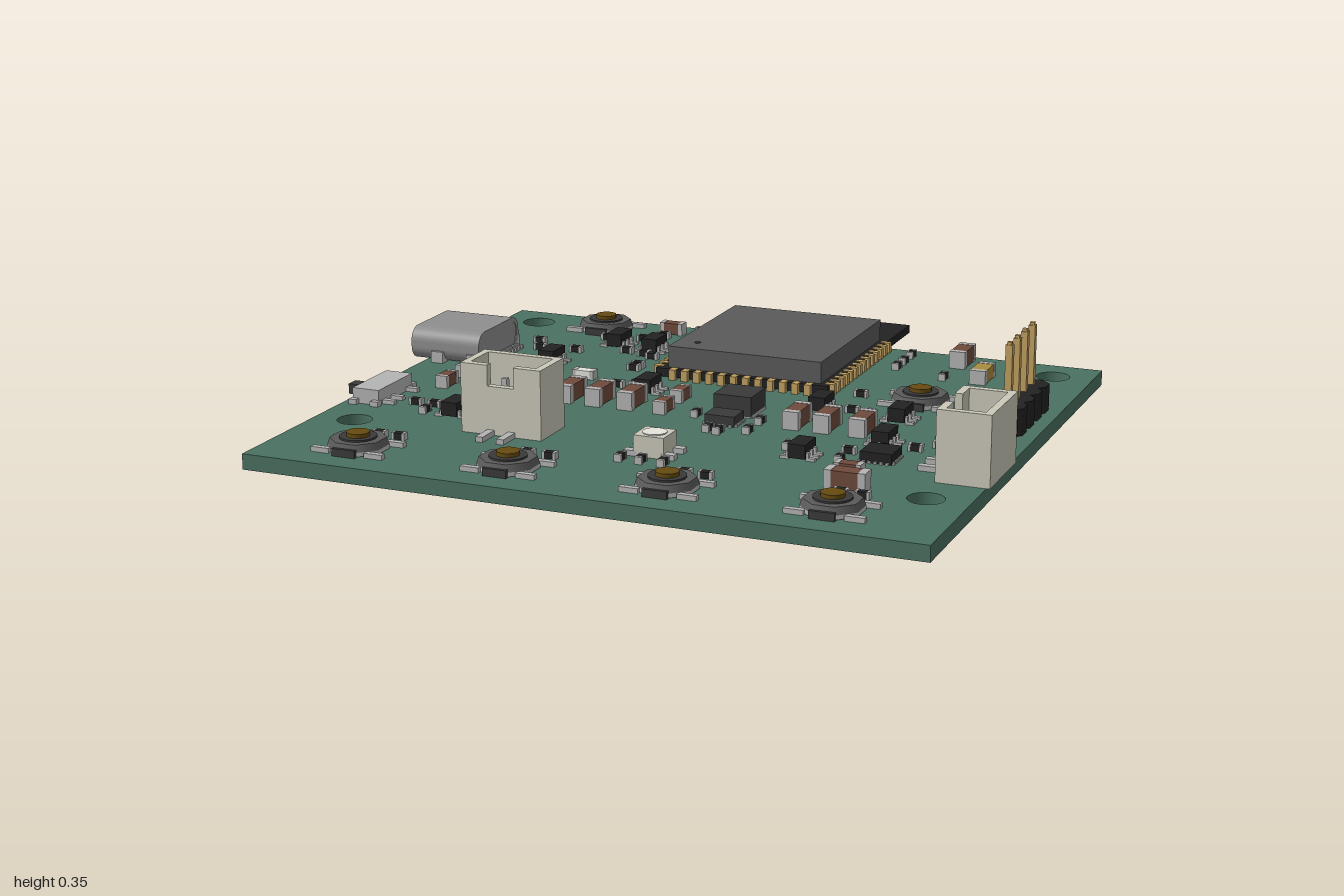
import * as THREE from 'three';

const TOP = 0.095; // height of the board's upper face
const mat = (color) => new THREE.MeshStandardMaterial({ color, side: THREE.DoubleSide });
const M = {
  board: mat(0x4a7060), black: mat(0x222222), dark: mat(0x3a3a3a), grey: mat(0x5a5a5a), shell: mat(0x8e8e8e),
  metal: mat(0xb4b4b4), cream: mat(0xcac8b8), gold: mat(0xc0a060), brown: mat(0x6e4a3c), stem: mat(0x664a10),
  yellow: mat(0xa88c40), white: mat(0xe4e4dc),
};

function mesh(parent, name, geo, material, x = 0, y = 0, z = 0) {
  const m = new THREE.Mesh(geo, material);
  m.name = name;
  m.position.set(x, y, z);
  parent.add(m);
  return m;
}
// Box centred on x and z, resting on height y
const box = (p, name, m, x, y, z, w, h, d) => mesh(p, name, new THREE.BoxGeometry(w, h, d), m, x, y + h / 2, z);
// Cylinder resting on height y
const cyl = (p, name, m, x, y, z, r, h, n = 20, r2 = r) => {
  const g = new THREE.CylinderGeometry(r2, r, h, n);
  if (n === 8) g.rotateY(Math.PI / 8);
  return mesh(p, name, n === 8 ? g.toNonIndexed() : g, m, x, y + h / 2, z);
};
function sub(parent, name, x = 0, z = 0, turn = 0) {
  const g = new THREE.Group();
  g.name = name;
  g.position.set(x, TOP, z);
  g.rotation.y = turn;
  parent.add(g);
  return g;
}
function roundRect(T, w, h, r) {
  const s = new T(), x = w / 2 - r, y = h / 2 - r;
  s.absarc(x, y, r, 0, Math.PI / 2);
  s.absarc(-x, y, r, Math.PI / 2, Math.PI);
  s.absarc(-x, -y, r, Math.PI, Math.PI * 1.5);
  s.absarc(x, -y, r, Math.PI * 1.5, Math.PI * 2);
  s.closePath();
  return s;
}

// Board with four mounting holes
function addBoard(root) {
  const s = new THREE.Shape([[-0.96, -0.76], [0.99, -0.76], [0.99, 0.95], [-0.96, 0.95]].map((p) => new THREE.Vector2(...p)));
  for (const [x, z] of [[-0.84, -0.64], [0.87, -0.64], [-0.84, 0.55], [0.87, 0.61]])
    s.holes.push(new THREE.Path().absarc(x, z, 0.05, 0, Math.PI * 2, true));
  const g = new THREE.ExtrudeGeometry(s, { depth: 0.045, bevelEnabled: false, curveSegments: 24 }).rotateX(Math.PI / 2);
  mesh(root, 'circuitBoard', g, M.board, 0, TOP, 0);
}

// Radio module with shield can, edge pads and antenna trace
function addModule(root) {
  const g = sub(root, 'radioModule', 0.045, 0);
  box(g, 'moduleBoard', M.black, 0, 0.005, -0.565, 0.545, 0.025, 0.77);
  box(g, 'shieldCan', M.grey, 0.002, 0.03, -0.47, 0.485, 0.065, 0.54);
  cyl(g, 'pinOneDot', M.dark, -0.175, 0.0945, -0.27, 0.01, 0.002, 12);
  for (let i = 0; i < 14; i++)
    for (const s of [-1, 1]) box(g, 'edgePad', M.gold, s * 0.272, 0, -0.715 + i * 0.039, 0.03, 0.032, 0.02);
  for (let i = 0; i < 12; i++) box(g, 'edgePad', M.gold, -0.215 + i * 0.039, 0, -0.18, 0.02, 0.032, 0.03);
  for (let i = 0; i < 6; i++) {
    box(g, 'antennaTrace', M.dark, -0.2 + i * 0.07, 0.03, -0.86, 0.014, 0.002, 0.11);
    if (i < 5) box(g, 'antennaTrace', M.dark, -0.165 + i * 0.07, 0.03, i % 2 ? -0.812 : -0.908, 0.07, 0.002, 0.014);
  }
}

// Octagonal push button
function addButton(root, x, z) {
  const g = sub(root, 'pushButton', x, z);
  cyl(g, 'base', M.metal, 0, 0.002, 0, 0.085, 0.012, 8);
  cyl(g, 'body', M.grey, 0, 0.014, 0, 0.085, 0.02, 8, 0.078);
  cyl(g, 'collar', M.dark, 0, 0.034, 0, 0.052, 0.005, 24);
  cyl(g, 'plunger', M.stem, 0, 0.039, 0, 0.032, 0.011, 24);
  for (const a of [-1, 1]) {
    for (const b of [-1, 1]) box(g, 'leg', M.metal, a * 0.082, 0, b * 0.06, 0.055, 0.014, 0.018);
    box(g, 'sideTab', M.dark, 0, 0, a * 0.078, 0.07, 0.022, 0.015);
  }
}

// Open two-pin plug socket; the notched wall and the legs face local +z
function addSocket(root, name, x, z, turn) {
  const g = sub(root, name, x, z, turn), t = 0.022, w = 0.245, d = 0.15, h = 0.2;
  box(g, 'floor', M.cream, 0, 0, 0, w - t, 0.04, d - t);
  box(g, 'backWall', M.cream, 0, 0, -(d - t) / 2, w, h, t);
  box(g, 'frontWall', M.cream, 0, 0, (d - t) / 2, w, h - 0.06, t);
  for (const s of [-1, 1]) {
    box(g, 'sideWall', M.cream, s * (w - t) / 2, 0, 0, t, h, d - 2 * t);
    box(g, 'frontWallTop', M.cream, s * (w / 4 + 0.02), h - 0.06, (d - t) / 2, w / 2 - 0.04, 0.06, t);
    box(g, 'contact', M.metal, s * 0.032, 0.04, -0.02, 0.016, 0.1, 0.016);
    box(g, 'leg', M.metal, s * 0.032, 0, d / 2 + 0.03, 0.022, 0.015, 0.085);
  }
}

// Side port: rounded tube opening toward -x, with tongue and solder legs
function addPort(root) {
  const g = sub(root, 'sidePort', 0, -0.215);
  const s = roundRect(THREE.Shape, 0.27, 0.1, 0.042);
  s.holes.push(roundRect(THREE.Path, 0.242, 0.074, 0.03));
  const turn = (geo) => geo.rotateY(-Math.PI / 2);
  mesh(g, 'shell', turn(new THREE.ExtrudeGeometry(s, { depth: 0.23, bevelEnabled: false, curveSegments: 8 })), M.shell, -0.77, 0.05, 0);
  mesh(g, 'backPlate', turn(new THREE.ExtrudeGeometry(roundRect(THREE.Shape, 0.25, 0.08, 0.032), { depth: 0.05, bevelEnabled: false })), M.shell, -0.772, 0.05, 0);
  box(g, 'tongue', M.dark, -0.88, 0.04, 0, 0.16, 0.02, 0.18);
  for (let i = 0; i < 12; i++) box(g, 'solderLeg', M.metal, -0.765, 0, -0.11 + i * 0.02, 0.045, 0.012, 0.01);
  for (const x of [-0.91, -0.79]) for (const s2 of [-1, 1]) box(g, 'shellTab', M.metal, x, 0, s2 * 0.128, 0.04, 0.035, 0.03);
}

// Slide switch on the left-hand edge of the plan
function addSwitch(root) {
  const g = sub(root, 'slideSwitch', -0.888, 0.302);
  box(g, 'body', M.metal, 0, 0, 0, 0.085, 0.045, 0.2);
  box(g, 'knob', M.dark, -0.063, 0.008, 0.028, 0.045, 0.03, 0.04);
  for (const s of [-1, 1]) for (const x of [-0.035, 0.035]) box(g, 'cornerTab', M.metal, x, 0, s * 0.105, 0.025, 0.015, 0.025);
  for (const z of [-0.07, 0.02, 0.07]) box(g, 'leg', M.metal, 0.055, 0, z, 0.05, 0.012, 0.018);
}

// Four-pin header passing through the board
function addHeader(root) {
  const g = sub(root, 'pinHeader', 0.9, -0.155);
  for (let i = 0; i < 4; i++) {
    const z = (i - 1.5) * 0.078;
    cyl(g, 'housing', M.black, 0, 0, z, 0.054, 0.078, 8);
    box(g, 'pin', M.gold, 0, -0.087, z, 0.02, 0.339, 0.02);
    for (const up of [0.252, -0.095]) box(g, 'pinTip', M.gold, 0, up, z, 0.013, 0.008, 0.013);
    cyl(g, 'solderRing', M.gold, 0, -0.048, z, 0.025, 0.004, 16);
  }
  box(g, 'housingCore', M.black, 0, 0, 0, 0.075, 0.077, 0.31);
}

// Small chip with leads along both long sides
function addLeadedChip(root, x, z) {
  const g = sub(root, 'leadedChip', x, z);
  box(g, 'body', M.black, 0, 0.006, 0, 0.05, 0.04, 0.085);
  for (const s of [-1, 1]) for (const k of [-1, 0, 1]) {
    box(g, 'lead', M.metal, s * 0.038, 0, k * 0.029, 0.025, 0.008, 0.013);
    box(g, 'leadBend', M.metal, s * 0.029, 0, k * 0.029, 0.008, 0.022, 0.013);
  }
}

// Flat square chip with pads showing at its edges
function addFlatChip(root, x, z, w, d, m = M.black) {
  const g = sub(root, 'flatChip', x, z), n = 5;
  box(g, 'body', m, 0, 0, 0, w, 0.03, d);
  for (let i = 0; i < n; i++) {
    const k = (i / (n - 1) - 0.5) * 0.75;
    box(g, 'pads', M.metal, 0, 0, k * d, w + 0.014, 0.006, 0.009);
    box(g, 'pads', M.metal, k * w, 0, 0, 0.009, 0.006, d + 0.014);
  }
}

// Two-ended passive: coloured middle with metal caps, long side along z unless turned
function addPassive(root, name, x, z, w, l, h, m, turned = false) {
  const g = sub(root, name, x, z, turned ? Math.PI / 2 : 0);
  box(g, 'body', m, 0, 0.002, 0, w * 0.96, h, l * 0.7);
  for (const s of [-1, 1]) box(g, 'endCap', M.metal, 0, 0, s * l * 0.41, w, h + 0.003, l * 0.18);
}

export function createModel() {
  const root = new THREE.Group();
  root.name = 'controllerBoard';
  addBoard(root);
  addModule(root);
  for (const [x, z] of [[-0.6, -0.64], [0.59, -0.215], [-0.69, 0.79], [-0.235, 0.79], [0.225, 0.79], [0.68, 0.79]]) addButton(root, x, z);
  addSocket(root, 'frontSocket', -0.383, 0.463, 0);
  addSocket(root, 'sideSocket', 0.925, 0.352, -Math.PI / 2);
  addPort(root);
  addSwitch(root);
  addHeader(root);

  // Chips and power inductors
  for (const [x, z] of [[-0.48, -0.475], [-0.355, -0.46], [-0.59, -0.215], [-0.19, -0.035], [0.345, -0.05], [0.59, -0.03], [0.62, 0.2], [0.45, 0.395], [-0.6, 0.395]])
    addLeadedChip(root, x, z);
  addFlatChip(root, 0.775, 0.075, 0.07, 0.055);
  addFlatChip(root, 0.655, 0.335, 0.09, 0.09);
  for (const x of [-0.567, 0.137]) {
    box(root, 'inductor', M.dark, x, TOP + 0.004, 0.06, 0.115, 0.058, 0.115);
    for (const s of [-1, 1]) box(root, 'inductorPad', M.metal, x + s * 0.045, TOP, 0.06, 0.03, 0.008, 0.11);
    addFlatChip(root, x, 0.178, 0.09, 0.075, M.dark);
  }

  // Indicator light
  const led = sub(root, 'indicatorLight', 0.073, 0.52);
  box(led, 'body', M.cream, 0, 0, 0, 0.09, 0.06, 0.09);
  cyl(led, 'lens', M.white, 0, 0.06, 0, 0.034, 0.003, 24);
  for (const a of [-1, 1]) for (const b of [-1, 1]) box(led, 'pad', M.metal, a * 0.055, 0, b * 0.033, 0.04, 0.015, 0.025);

  // Large and medium capacitors
  for (const x of [-0.365, -0.273, -0.172, 0.335, 0.425, 0.53]) addPassive(root, 'largeCapacitor', x, 0.12, 0.048, 0.115, 0.05, M.brown);
  addPassive(root, 'largeCapacitor', 0.578, -0.67, 0.05, 0.115, 0.05, M.brown);
  addPassive(root, 'largeCapacitor', 0.655, 0.61, 0.05, 0.115, 0.05, M.brown, true);
  addPassive(root, 'yellowCapacitor', 0.685, -0.52, 0.05, 0.11, 0.04, M.yellow);
  for (const [x, z] of [[-0.765, 0.01], [-0.765, 0.135], [-0.065, 0.015], [-0.065, 0.14]]) addPassive(root, 'capacitor', x, z, 0.038, 0.075, 0.035, M.brown);
  for (const [x, z] of [[0.625, 0.505], [-0.38, -0.67]]) addPassive(root, 'capacitor', x, z, 0.038, 0.075, 0.035, M.brown, true);
  addPassive(root, 'statusLight', -0.42, -0.09, 0.035, 0.07, 0.025, M.white, true);

  // Tiny resistors: lying along x, then along z
  const alongX = [[-0.72, -0.405], [-0.685, -0.335], [-0.42, -0.4], [-0.355, -0.385], [-0.32, -0.365], [-0.57, -0.35], [-0.385, -0.61], [-0.295, -0.705],
    [-0.43, -0.55], [-0.32, -0.26], [-0.32, -0.225], [0.41, -0.215], [0.44, -0.05], [0.73, -0.09], [0.775, 0.18], [0.72, 0.23],
    [-0.69, 0.67], [-0.63, 0.67], [-0.235, 0.67], [-0.17, 0.67], [0.225, 0.67], [0.285, 0.67], [0.66, 0.67], [0.72, 0.67], [-0.75, 0.35], [-0.69, 0.35], [-0.54, -0.52],
    [0.64, 0.265], [0.56, 0.32], [-0.55, 0.275], [-0.29, -0.04], [-0.465, 0.22]];
  const alongZ = [[0.41, -0.685], [0.41, -0.61], [0.41, -0.545], [0.575, -0.485], [0.805, -0.5], [0.805, -0.43], [0.685, -0.35], [0.745, -0.35],
    [-0.665, 0.15], [-0.465, 0.15], [-0.465, 0.26], [0.04, 0.15], [0.235, 0.15], [0.235, 0.245], [0.16, 0.28], [-0.58, 0.3], [0.01, 0.61], [0.07, 0.61], [0.135, 0.61],
    [-0.69, 0.41], [0.56, 0.4], [0.39, 0.34], [0.5, -0.03], [0.9, 0.095], [0.9, 0.155], [-0.245, -0.06], [0.125, 0.27]];
  for (const [x, z] of alongX) addPassive(root, 'resistor', x, z, 0.022, 0.04, 0.018, M.black, true);
  for (const [x, z] of alongZ) addPassive(root, 'resistor', x, z, 0.022, 0.04, 0.018, M.black);
  return root;
}
